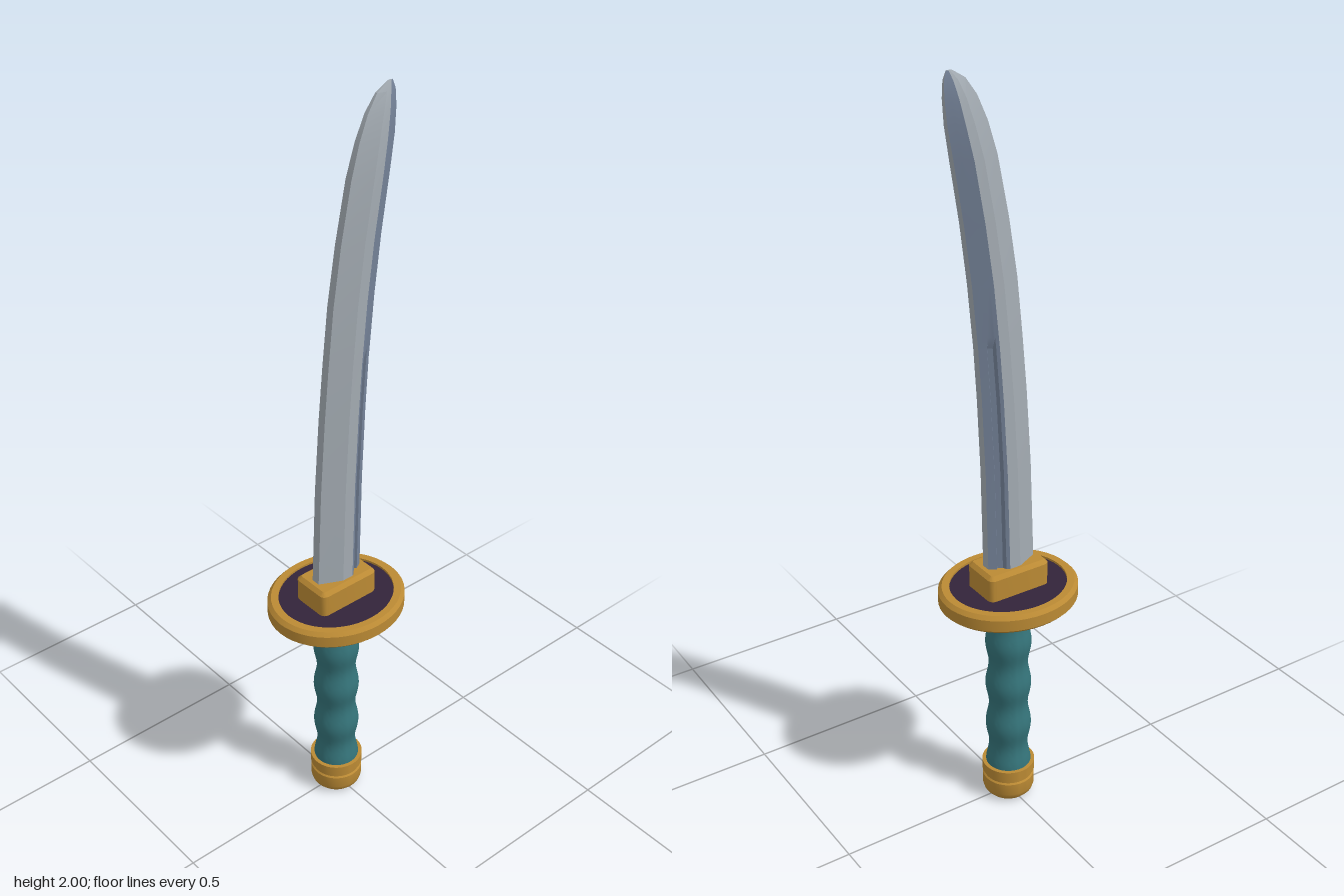
import * as THREE from 'three';
import { toCreasedNormals } from 'three/addons/utils/BufferGeometryUtils.js';

const mat = (name, color, side = THREE.FrontSide) => {
  const m = new THREE.MeshStandardMaterial({ color, side });
  m.name = name;
  return m;
};

export function createModel() {
  const gold = mat('gold', 0xbb8a34);
  const teal = mat('teal wrap', 0x35747a);
  const plum = mat('dark plum', 0x33243a);
  const steel = mat('steel', 0xa3abb2, THREE.DoubleSide);
  const blueSteel = mat('blue steel', 0x76849a, THREE.DoubleSide);

  const group = new THREE.Group();
  const add = (name, geometry, material) => {
    const mesh = new THREE.Mesh(geometry, material);
    mesh.name = name;
    group.add(mesh);
    return mesh;
  };
  // Turned part from [radius, y] pairs, listed bottom to top on the outside
  const turned = (name, profile, material, crease = 0.5) =>
    add(name, toCreasedNormals(
      new THREE.LatheGeometry(profile.map(p => new THREE.Vector2(...p)), 48), crease), material);

  // Pommel with a shallow groove
  turned('pommel', [[0, 0], [0.055, 0], [0.066, 0.012], [0.07, 0.025], [0.07, 0.058], [0.066, 0.062],
    [0.066, 0.068], [0.071, 0.072], [0.071, 0.1], [0.05, 0.1], [0, 0.1]], gold);

  // Wrapped grip with soft swells
  const grip = [];
  for (let i = 0; i <= 48; i++) {
    const t = i / 48;
    grip.push([0.0565 + 0.0045 * Math.cos(t * Math.PI * 8), 0.095 + t * 0.52]);
  }
  turned('grip', grip, teal, 1);

  // Oval guard: collar, rim and inlaid disc
  turned('guardCollar', [[0.05, 0.606], [0.07, 0.606], [0.07, 0.63]], gold);
  const rim = turned('guardRim', [[0.157, 0.63], [0.157, 0.616], [0.177, 0.616], [0.187, 0.625], [0.187, 0.656],
    [0.177, 0.666], [0.157, 0.666], [0.157, 0.63]], gold);
  const inlay = turned('guardInlay', [[0, 0.622], [0.158, 0.622], [0.158, 0.66], [0, 0.66]], plum);
  rim.scale.z = inlay.scale.z = 0.885;

  // Blade collar: bevelled block with rounded corners
  const w = 0.08, d = 0.047, r = 0.008;
  const block = new THREE.Shape();
  block.moveTo(-w + r, -d);
  block.lineTo(w - r, -d);
  block.quadraticCurveTo(w, -d, w, -d + r);
  block.lineTo(w, d - r);
  block.quadraticCurveTo(w, d, w - r, d);
  block.lineTo(-w + r, d);
  block.quadraticCurveTo(-w, d, -w, d - r);
  block.lineTo(-w, -d + r);
  block.quadraticCurveTo(-w, -d, -w + r, -d);
  const collar = new THREE.ExtrudeGeometry(block, {
    depth: 0.07, bevelSize: 0.01, bevelThickness: 0.01, bevelSegments: 1, curveSegments: 4,
  });
  collar.rotateX(-Math.PI / 2);
  collar.translate(0, 0.65, 0);
  add('bladeCollar', toCreasedNormals(collar, 0.5), gold);

  // Blade rows: height, back x, edge x, half thickness
  const rows = [
    [0.7, -0.07, 0.068, 0.04], [1.0, -0.059, 0.074, 0.039], [1.2, -0.046, 0.083, 0.038],
    [1.34, -0.034, 0.092, 0.037], [1.37, -0.031, 0.095, 0.037], [1.5, -0.018, 0.107, 0.036],
    [1.65, 0.005, 0.126, 0.034], [1.8, 0.035, 0.15, 0.032], [1.88, 0.059, 0.163, 0.026],
    [1.94, 0.085, 0.168, 0.019], [1.98, 0.113, 0.167, 0.01], [2.0, 0.145, 0.16, 0.002],
  ];
  // Half section: position across the width, thickness, depth of the fuller
  const section = [[-1, 0.3, 0], [-0.15, 1, 0], [0.3, 1, 0], [0.42, 0.88, 0],
    [0.48, 0.82, 0.2], [0.66, 0.64, 0.2], [0.72, 0.58, 0], [1, 0.3, 0]];
  const rings = rows.map(([y, x0, x1, t]) => {
    const half = section.map(([u, k, g]) => new THREE.Vector3(
      x0 + (x1 - x0) * (u + 1) / 2, y, t * (k - (y < 1.35 ? g : 0))));
    const mirrored = half.map(p => new THREE.Vector3(p.x, p.y, -p.z)).reverse();
    return [...half, ...mirrored];
  });
  const n = rings[0].length;
  const bladeFaces = (keep, withTip) => {
    const pts = [];
    for (let j = 0; j < rings.length - 1; j++) {
      for (let i = 0; i < n; i++) {
        if (!keep(i)) continue;
        const k = (i + 1) % n;
        const a = rings[j][i], b = rings[j][k], c = rings[j + 1][k], e = rings[j + 1][i];
        pts.push(a, b, c, a, c, e);
      }
    }
    const top = rings[rings.length - 1];
    if (withTip) for (let i = 1; i < n - 1; i++) pts.push(top[0], top[i], top[i + 1]);
    return toCreasedNormals(new THREE.BufferGeometry().setFromPoints(pts), 0.22);
  };
  // The side behind the fuller is bluer than the rest of the blade
  const isBlue = i => (i >= 2 && i <= 6) || (i >= 8 && i <= 12);
  add('bladeBody', bladeFaces(i => !isBlue(i), true), steel);
  add('bladeBevel', bladeFaces(isBlue, false), blueSteel);

  return group;
}
